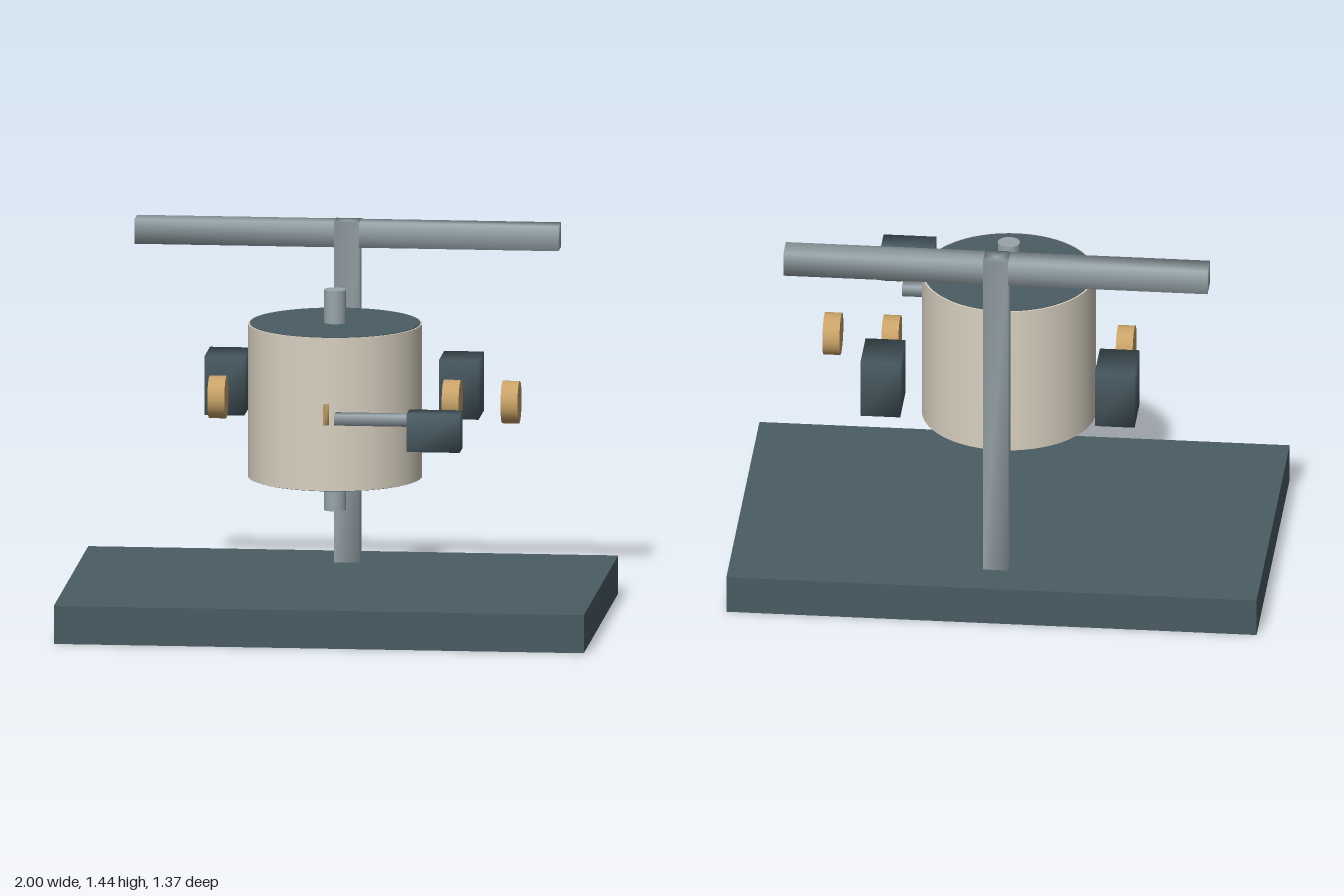
import * as THREE from 'three';
import { mergeVertices } from 'three/addons/utils/BufferGeometryUtils.js';

const material = (name, color) => {
  const m = new THREE.MeshStandardMaterial({ color });
  m.name = name;
  return m;
};

// Shares the corners so that shading flows around the edges
function soften(geometry) {
  geometry.deleteAttribute('normal');
  geometry.deleteAttribute('uv');
  const merged = mergeVertices(geometry);
  merged.computeVertexNormals();
  return merged;
}

export function createModel() {
  const group = new THREE.Group();
  const slate = material('slate', 0x4a5c64);
  const cream = material('cream', 0xd8d0c0);
  const steel = material('steel', 0x98a5aa);
  const brass = material('brass', 0xc8a268);

  function add(name, geometry, mat, x, y, z) {
    const mesh = new THREE.Mesh(geometry, mat);
    mesh.name = name;
    mesh.position.set(x, y, z);
    group.add(mesh);
    return mesh;
  }
  const softBox = (w, h, d) => soften(new THREE.BoxGeometry(w, h, d));
  // Square bar along y with pointed shading on its ends
  const squareBar = (side, length) => soften(
    new THREE.CylinderGeometry(side / Math.SQRT2, side / Math.SQRT2, length, 4).rotateY(Math.PI / 4));

  // Base and stand
  add('base', new THREE.BoxGeometry(2, 0.145, 1.29), slate, 0, 0.0725, -0.045);
  add('post', squareBar(0.095, 1.297), steel, 0, 0.7935, -0.485);
  add('crossbar', squareBar(0.094, 1.6).rotateZ(Math.PI / 2), steel, 0, 1.393, -0.485);

  // Drum with dark ends, on its axle
  const drumZ = -0.01;
  add('drum', new THREE.CylinderGeometry(0.327, 0.327, 0.583, 64), cream, 0, 0.842, drumZ);
  for (const [name, y] of [['drumTop', 1.133], ['drumBottom', 0.551]]) {
    add(name, new THREE.CylinderGeometry(0.32, 0.32, 0.006, 64), slate, 0, y, drumZ);
  }
  add('axle', new THREE.CylinderGeometry(0.042, 0.042, 0.84, 32), steel, 0, 0.842, drumZ);

  // Round side knobs
  for (const x of [-0.442, 0.442, 0.664]) {
    add('knob', new THREE.CylinderGeometry(0.08, 0.08, 0.064, 32).rotateZ(Math.PI / 2), brass, x, 0.844, drumZ);
  }

  // Rear blocks beside the post
  for (const side of [-1, 1]) {
    add('rearBlock', softBox(0.15, 0.225, 0.2), slate, side * 0.442, 0.843, -0.355);
  }

  // Front block with its shaft, arm and stylus
  add('frontBlock', softBox(0.2, 0.145, 0.098), slate, 0.44, 0.843, 0.635);
  add('shaft', new THREE.CylinderGeometry(0.033, 0.033, 0.1, 24).rotateX(Math.PI / 2), brass, 0.44, 0.843, 0.552);
  add('arm', softBox(0.4, 0.04, 0.063), steel, 0.24, 0.841, 0.398);
  add('stylus', softBox(0.02, 0.077, 0.03), brass, 0, 0.842, 0.32);

  return group;
}
